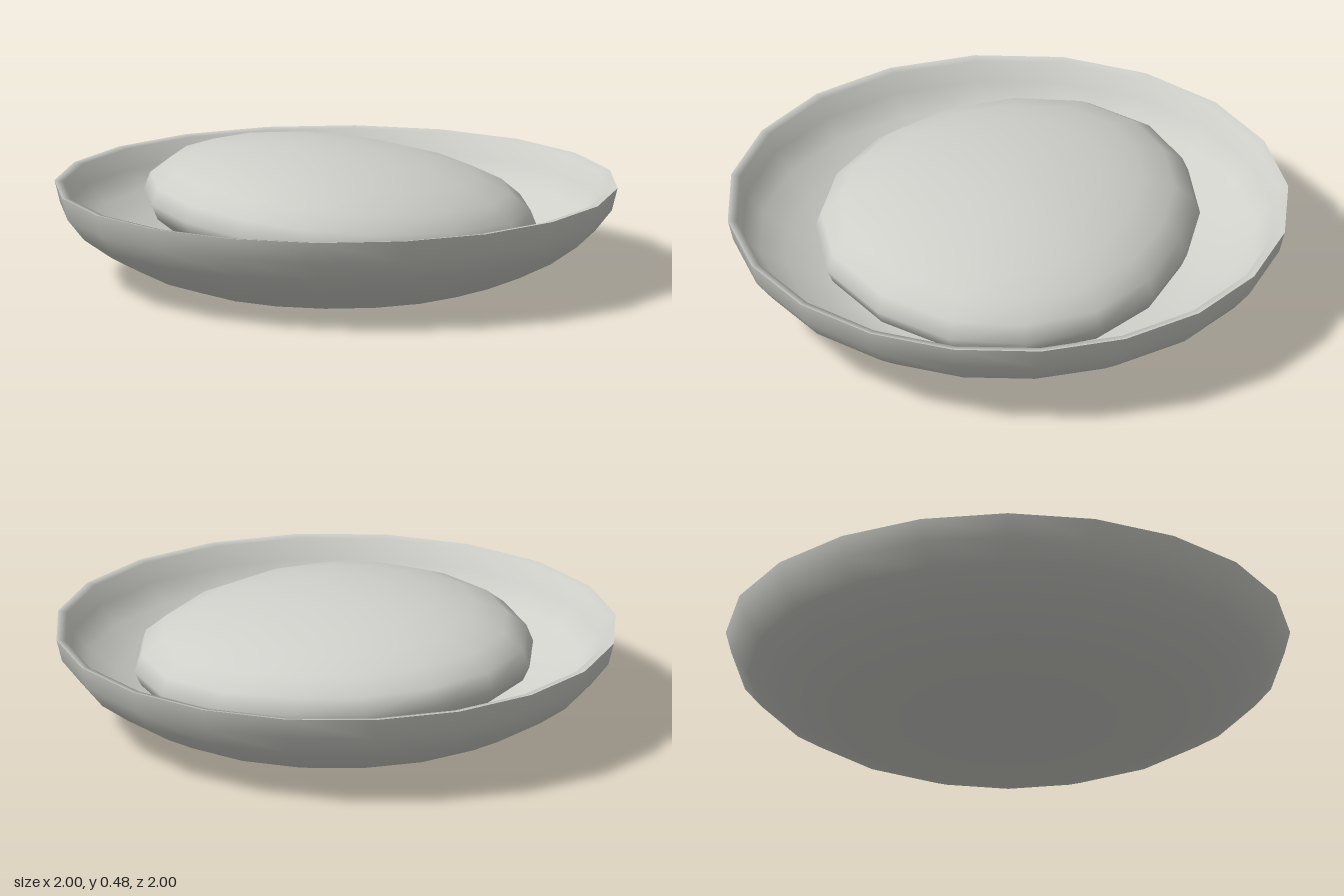
import * as THREE from 'three';

// A lathed surface; profile runs so that the outward side is on its right
function lathe(name, profile, material) {
  const points = profile.map(([r, y]) => new THREE.Vector2(r, y));
  const mesh = new THREE.Mesh(new THREE.LatheGeometry(points, 20), material);
  mesh.name = name;
  return mesh;
}

// Domed, slightly irregular loaf: an outline shrunk ring by ring, on a tilted plane
function loafGeometry() {
  const outline = [
    [-0.22, -0.65], [0.04, -0.655], [0.32, -0.59], [0.55, -0.44],
    [0.69, -0.2], [0.72, 0.07], [0.61, 0.35], [0.4, 0.575],
    [0.15, 0.67], [-0.1, 0.66], [-0.35, 0.555], [-0.56, 0.36],
    [-0.69, 0.11], [-0.725, -0.16], [-0.635, -0.4], [-0.46, -0.56],
  ];
  const n = outline.length, rings = 11;
  const tilt = (x, z) => 0.247 - 0.065 * x + 0.022 * z;
  const positions = [], index = [];
  for (let i = 1; i <= rings; i++) {
    const t = -Math.PI / 2 + (Math.PI * i) / (rings + 1);
    const rise = Math.sin(t) * (t < 0 ? 0.2 : 0.232);
    for (const [ox, oz] of outline) {
      const x = ox * Math.cos(t), z = oz * Math.cos(t);
      positions.push(x, tilt(x, z) + rise, z);
    }
  }
  const bottom = rings * n, top = bottom + 1;
  positions.push(0, tilt(0, 0) - 0.2, 0, 0, tilt(0, 0) + 0.232, 0);
  for (let j = 0; j < n; j++) {
    const k = (j + 1) % n;
    for (let i = 0; i < rings - 1; i++) {
      const a = i * n + j, b = i * n + k;
      index.push(a, a + n, b, b, a + n, b + n);
    }
    index.push(bottom, j, k);
    index.push(top, (rings - 1) * n + k, (rings - 1) * n + j);
  }
  const geometry = new THREE.BufferGeometry();
  geometry.setAttribute('position', new THREE.Float32BufferAttribute(positions, 3));
  geometry.setIndex(index);
  geometry.computeVertexNormals();
  return geometry;
}

export function createModel() {
  const group = new THREE.Group();
  group.name = 'bowlWithLoaf';
  const stone = new THREE.MeshStandardMaterial({ color: 0xcfcfca });
  stone.name = 'pale grey';

  // Bowl: outside wall, then rim and inside
  const bowl = new THREE.Group();
  bowl.name = 'bowl';
  bowl.add(lathe('bowlOutside', [
    [0, 0], [0.3, 0], [0.56, 0.008], [0.7, 0.055], [0.82, 0.115],
    [0.92, 0.185], [0.98, 0.26], [1, 0.34],
  ], stone));
  bowl.add(lathe('bowlInside', [
    [1, 0.34], [0.968, 0.335], [0.945, 0.265], [0.885, 0.2], [0.79, 0.14],
    [0.68, 0.088], [0.55, 0.045], [0.3, 0.035], [0, 0.035],
  ], stone));
  group.add(bowl);

  // Loaf resting at a slant in the bowl
  const loaf = new THREE.Mesh(loafGeometry(), stone);
  loaf.name = 'loaf';
  group.add(loaf);

  return group;
}
